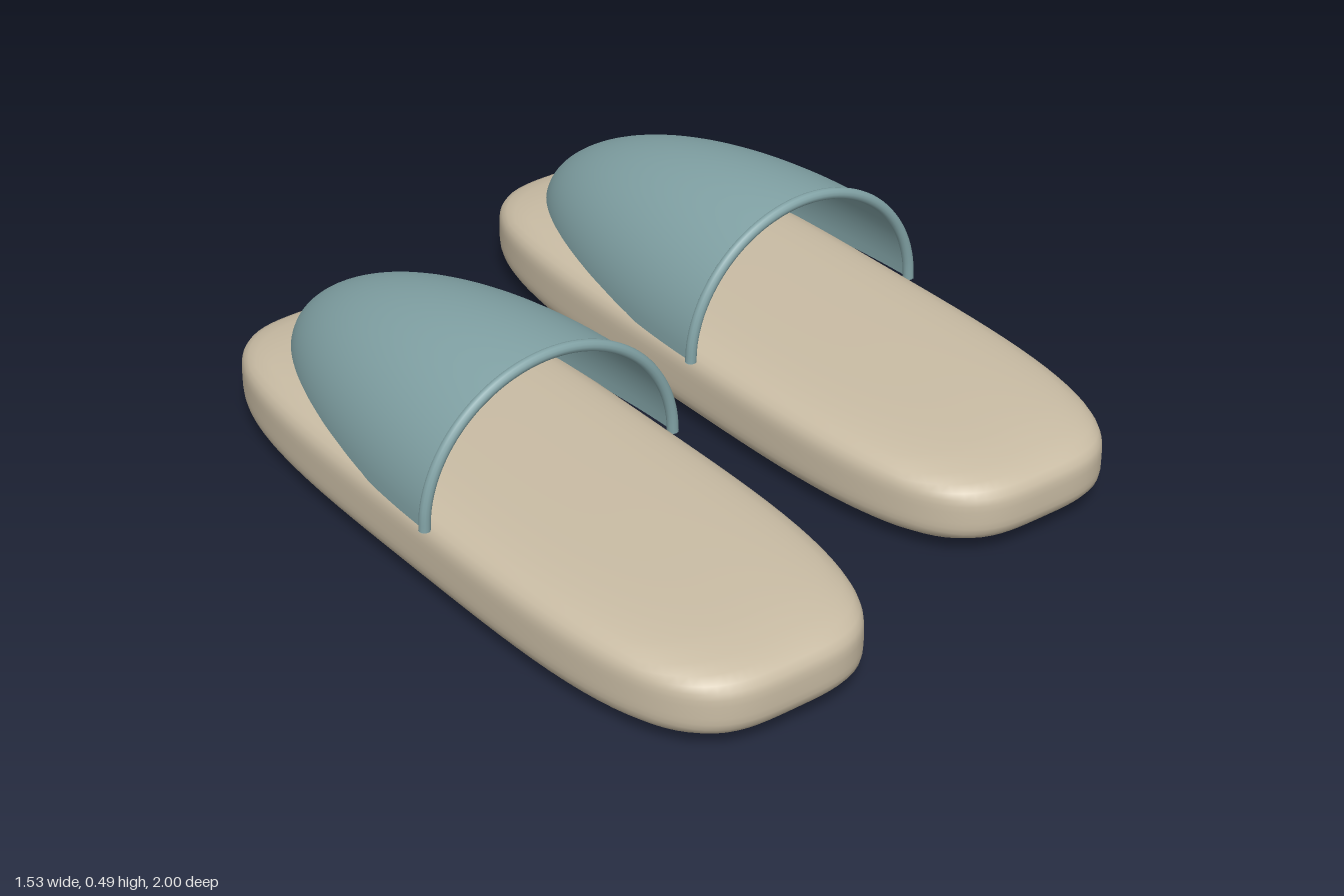
import * as THREE from 'three';
import { mergeVertices } from 'three/addons/utils/BufferGeometryUtils.js';

const soleMat = new THREE.MeshStandardMaterial({ name: 'beige sole', color: 0xc9bca4 });
const upperMat = new THREE.MeshStandardMaterial({ name: 'teal upper', color: 0x82a3a6, side: THREE.DoubleSide });

const BASE = 0.17, HALF_W = 0.322, RISE = 0.307, LENGTH = 0.89;

// Pillow-like sole: a box whose vertices are pulled onto a superellipsoid
function soleGeometry() {
  let g = new THREE.BoxGeometry(2, 2, 2, 28, 14, 28);
  g.deleteAttribute('uv');
  g.deleteAttribute('normal');
  g = mergeVertices(g);
  const p = g.attributes.position, n = 3.6, m = 4.4;
  for (let i = 0; i < p.count; i++) {
    const x = p.getX(i), y = p.getY(i), z = p.getZ(i);
    const plan = (Math.abs(x) ** n + Math.abs(z) ** n) ** (m / n);
    const k = 1 / (plan + Math.abs(y) ** m) ** (1 / m);
    p.setXYZ(i, x * k * 0.323, 0.105 + y * k * 0.103, z * k * 0.895);
  }
  g.computeVertexNormals();
  return g;
}

// Half-dome upper: arches that shrink elliptically toward a small toe opening
function upperGeometry() {
  const rows = 36, cols = 40, pos = [], index = [];
  const endAngle = Math.acos(0.15);
  const span = Math.sin(endAngle);
  for (let r = 0; r <= rows; r++) {
    const a = (r / rows) * (Math.PI / 2 - Math.asin(0.15));
    const c = Math.cos(a), z = -LENGTH * Math.sin(a) / span;
    for (let s = 0; s <= cols; s++) {
      const t = (s / cols) * Math.PI;
      pos.push(HALF_W * c * Math.cos(t), BASE + RISE * c ** 1.13 * Math.sin(t), z);
      if (r < rows && s < cols) {
        const i = r * (cols + 1) + s, j = i + cols + 1;
        index.push(i, j, i + 1, i + 1, j, j + 1);
      }
    }
  }
  // Make the outside the front of every face
  for (let i = 0; i < index.length; i += 3) {
    const [a, b, c] = [index[i], index[i + 1], index[i + 2]].map(k => new THREE.Vector3().fromArray(pos, k * 3));
    const normal = b.clone().sub(a).cross(c.clone().sub(a));
    if (normal.x * a.x + normal.y * (a.y - BASE) < 0) [index[i + 1], index[i + 2]] = [index[i + 2], index[i + 1]];
  }
  const g = new THREE.BufferGeometry();
  g.setAttribute('position', new THREE.Float32BufferAttribute(pos, 3));
  g.setIndex(index);
  g.computeVertexNormals();
  return g;
}

// Rolled trim around the foot opening
function trimGeometry() {
  const points = [];
  for (let i = 0; i <= 24; i++) {
    const t = (i / 24) * Math.PI;
    points.push(new THREE.Vector3(HALF_W * Math.cos(t), BASE + RISE * Math.sin(t), 0));
  }
  return new THREE.TubeGeometry(new THREE.CatmullRomCurve3(points), 64, 0.013, 12, false);
}

export function createModel() {
  const model = new THREE.Group();
  model.name = 'slippers';
  const sole = soleGeometry(), upper = upperGeometry(), trim = trimGeometry();
  const trimEnd = new THREE.CircleGeometry(0.013, 12).rotateX(Math.PI / 2);

  for (const side of [1, -1]) {
    const slipper = new THREE.Group();
    slipper.name = side > 0 ? 'leftSlipper' : 'rightSlipper';
    slipper.position.set(side * 0.428, 0, -side * 0.105);
    const add = (name, geometry, material, x = 0, y = 0, z = 0) => {
      const mesh = new THREE.Mesh(geometry, material);
      mesh.name = name;
      mesh.position.set(x, y, z);
      slipper.add(mesh);
    };
    add('sole', sole, soleMat);
    add('upper', upper, upperMat, 0, 0, 0.068);
    add('openingTrim', trim, upperMat, 0, 0, 0.068);
    for (const e of [1, -1]) add('trimEnd', trimEnd, upperMat, e * HALF_W, BASE, 0.068);
    model.add(slipper);
  }
  return model;
}
